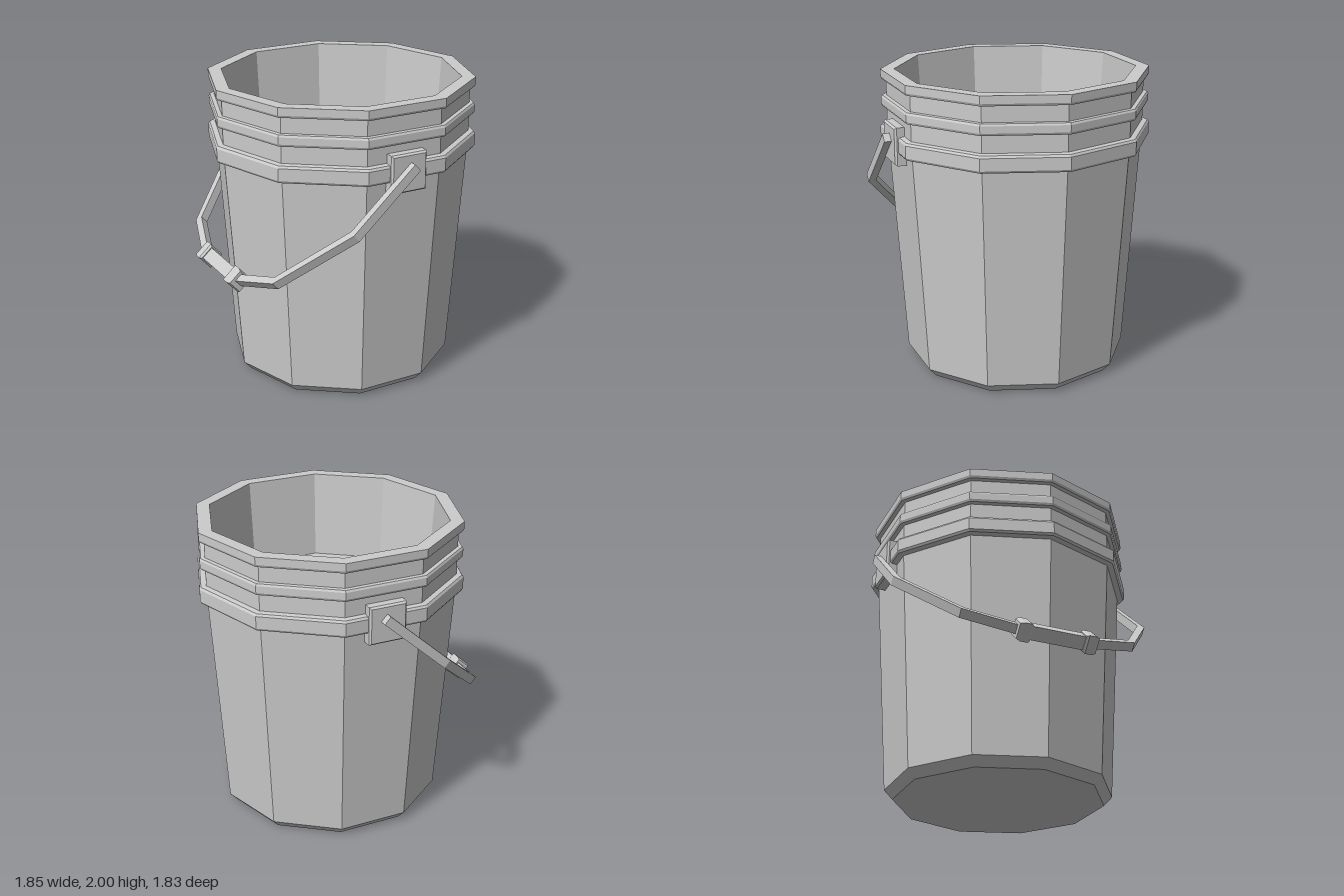
import * as THREE from 'three';

const material = new THREE.MeshStandardMaterial({ color: 0xcccccc, flatShading: true });

function part(name, geometry) {
  const mesh = new THREE.Mesh(geometry, material);
  mesh.name = name;
  return mesh;
}

// Square block along y whose half width changes from bottom to top
function taperedBlock(halfTop, halfBottom, height) {
  const g = new THREE.CylinderGeometry(halfTop * Math.SQRT2, halfBottom * Math.SQRT2, height, 4);
  return g.rotateY(Math.PI / 4);
}

export function createModel() {
  const model = new THREE.Group();
  model.name = 'bucket';

  // Ten-sided body: base, tapered wall, three rings, rim, inner wall and raised floor
  const profile = [
    [0, 0], [0.69, 0], [0.745, 0.06], [0.84, 1.52],
    [0.88, 1.525], [0.89, 1.54], [0.89, 1.62], [0.88, 1.635], [0.845, 1.64],
    [0.845, 1.75], [0.872, 1.755], [0.88, 1.77], [0.88, 1.815], [0.872, 1.828], [0.845, 1.83],
    [0.845, 1.93], [0.872, 1.935], [0.88, 1.95], [0.88, 2],
    [0.79, 2], [0.755, 1.42], [0, 1.42],
  ].map(([r, y]) => new THREE.Vector2(r, y));
  const body = part('body', new THREE.LatheGeometry(profile, 10, Math.PI / 2));
  body.position.x = 0.04;
  model.add(body);

  // Handle brackets on the front and back
  for (const side of [1, -1]) {
    const bracket = new THREE.Group();
    bracket.name = side > 0 ? 'frontBracket' : 'backBracket';
    const plate = part('bracketPlate', taperedBlock(0.125, 0.125, 0.1));
    plate.position.y = 0.805;
    const face = part('bracketFace', taperedBlock(0.114, 0.125, 0.014));
    face.position.y = 0.862;
    bracket.add(plate, face);
    bracket.rotation.x = side * Math.PI / 2;
    bracket.position.set(0.04, 1.575, 0);
    model.add(bracket);
  }

  // Handle: local x runs from the pivots to the grip, local y is the model's z
  const handle = new THREE.Group();
  handle.name = 'handle';
  const along = new THREE.Vector3(-0.745, -0.667, 0).normalize();
  const across = new THREE.Vector3(0, 0, 1);
  const normal = new THREE.Vector3().crossVectors(along, across);
  handle.applyMatrix4(new THREE.Matrix4().makeBasis(along, across, normal).setPosition(0.07, 1.62, 0));
  model.add(handle);

  // Bent bar, outlined on its outer and inner edges and mirrored
  const outer = [[0, 0.915], [0.57, 0.915], [1.1, 0.6], [1.245, 0.25]];
  const inner = [[1.19, 0.25], [1.06, 0.57], [0.555, 0.865], [0, 0.865]];
  const mirrored = (points) => points.map(([s, z]) => [s, -z]).reverse();
  const outline = [...outer, ...mirrored(outer), ...mirrored(inner), ...inner];
  const shape = new THREE.Shape(outline.map(([s, z]) => new THREE.Vector2(s, z)));
  const bar = new THREE.ExtrudeGeometry(shape, { depth: 0.06, bevelEnabled: false });
  handle.add(part('handleBar', bar.translate(0, 0, -0.03)));

  // Grip with a chamfered collar at each end
  const grip = part('grip', new THREE.BoxGeometry(0.088, 0.4, 0.088));
  grip.position.x = 1.22;
  handle.add(grip);
  for (const side of [1, -1]) {
    const collar = new THREE.Group();
    collar.name = 'gripCollar';
    [[0.06, 0.05, 0.015, 0.1875], [0.06, 0.06, 0.05, 0.22], [0.05, 0.06, 0.025, 0.2575]].forEach(([top, bottom, h, y]) => {
      const ring = part('collarSection', taperedBlock(top, bottom, h));
      ring.position.y = y;
      collar.add(ring);
    });
    collar.position.x = 1.22;
    collar.rotation.x = side > 0 ? 0 : Math.PI;
    handle.add(collar);
  }

  return model;
}
